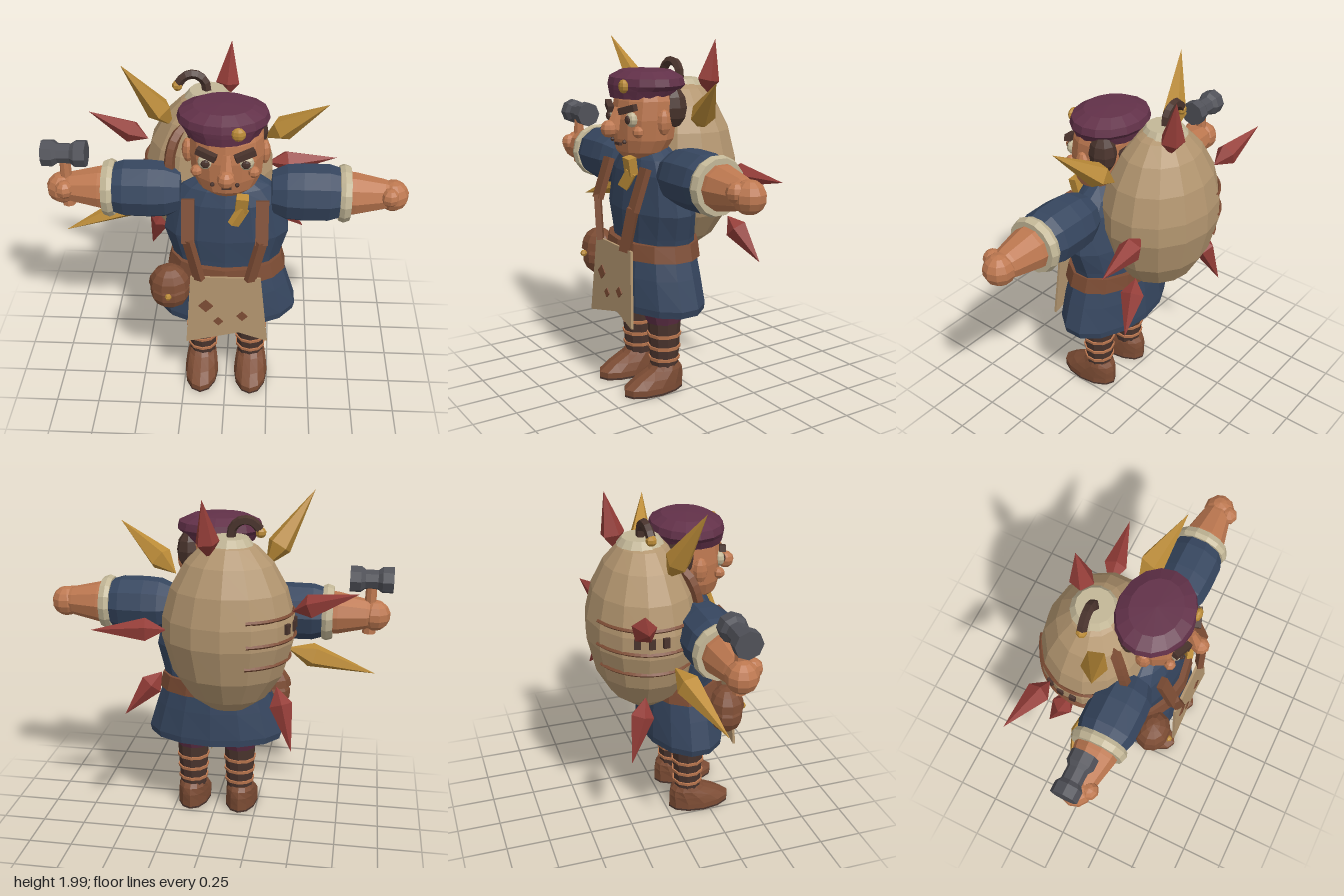
import * as THREE from 'three';

const V = (x, y, z) => new THREE.Vector3(x, y, z);
const UP = V(0, 1, 0);

export function createModel() {
  const root = new THREE.Group();
  const colours = {
    skin: 0xbd7850, navy: 0x36465f, burgundy: 0x623149, sackcloth: 0xb2956f, leather: 0x7c4c34,
    darkBrown: 0x4a342d, gold: 0xbc8c38, red: 0x943d38, steel: 0x505158, cream: 0xc3b797,
  };
  const mat = {};
  for (const name in colours) {
    mat[name] = new THREE.MeshStandardMaterial({ color: colours[name] });
    mat[name].name = name;
  }

  // Adds a faceted mesh
  function add(name, geo, material, pos = [0, 0, 0], rot = [0, 0, 0]) {
    const g = geo.index ? geo.toNonIndexed() : geo;
    g.computeVertexNormals();
    const m = new THREE.Mesh(g, mat[material]);
    m.name = name;
    m.position.set(...pos);
    m.rotation.set(...rot);
    root.add(m);
    return m;
  }
  // Stacked elliptical rings: [y, radiusX, radiusZ, centreZ]
  function loft(rings, sides) {
    const g = new THREE.LatheGeometry(rings.map(r => new THREE.Vector2(1, r[0])), sides);
    const p = g.attributes.position;
    for (let i = 0; i < p.count; i++) {
      const [, rx, rz, cz = 0] = rings[i % rings.length];
      p.setX(i, p.getX(i) * rx);
      p.setZ(i, p.getZ(i) * rz + cz);
    }
    return g;
  }
  const lathe = (pts, sides) => new THREE.LatheGeometry(pts.map(p => new THREE.Vector2(...p)), sides);
  const box = (w, h, d) => new THREE.BoxGeometry(w, h, d);
  const ball = (r, w = 9, h = 6) => new THREE.SphereGeometry(r, w, h);
  const tube = (pts, r, n = 8, sides = 5) =>
    new THREE.TubeGeometry(new THREE.CatmullRomCurve3(pts.map(p => V(...p))), n, r, sides);
  // Box stretched between two points
  function bar(name, a, b, w, d, material) {
    const A = V(...a), B = V(...b), dir = B.clone().sub(A);
    const m = add(name, box(w, dir.length(), d), material);
    m.position.copy(A).add(B).multiplyScalar(0.5);
    m.quaternion.setFromUnitVectors(UP, dir.normalize());
  }
  // Double-pointed crystal
  function spike(a, b, r, material) {
    const A = V(...a), dir = V(...b).sub(A), L = dir.length();
    const m = add(material + 'Spike', lathe([[0, 0], [r, L * 0.28], [0, L]], 5), material, a);
    m.quaternion.setFromUnitVectors(UP, dir.normalize());
  }

  // Legs and boots
  for (const s of [-1, 1]) {
    const x = s * 0.145;
    add('boot', loft([[0.012, 0, 0, 0.2], [0.012, 0.1, 0.19, 0.21], [0.045, 0.1, 0.19, 0.21], [0.09, 0.094, 0.155, 0.175],
      [0.13, 0.085, 0.105, 0.135], [0.155, 0.075, 0.08, 0.13], [0.155, 0, 0, 0.13]], 12), 'leather', [s * 0.15, 0, 0]);
    add('sole', loft([[0, 0, 0, 0.2], [0, 0.1, 0.19, 0.21], [0.012, 0.1, 0.19, 0.21], [0.012, 0, 0, 0.2]], 12), 'darkBrown', [s * 0.15, 0, 0]);
    add('stocking', new THREE.CylinderGeometry(0.097, 0.08, 0.3, 10), 'darkBrown', [x, 0.285, 0.135]);
    [0.19, 0.26, 0.335].forEach((y, i) =>
      add('legBand', new THREE.CylinderGeometry(0.092 + i * 0.004, 0.09 + i * 0.004, 0.018, 10), 'skin', [x, y, 0.135]));
    add('breeches', lathe([[0, 0.41], [0.1, 0.41], [0.135, 0.5], [0.15, 0.62], [0, 0.62]], 10), 'burgundy', [s * 0.14, 0, 0.135]);
  }

  // Tunic, belt and apron
  add('skirt', loft([[0.58, 0, 0, 0.13], [0.56, 0.36, 0.2, 0.13], [0.5, 0.4, 0.24, 0.125], [0.54, 0.41, 0.242, 0.125],
    [0.7, 0.36, 0.232, 0.125], [0.85, 0.31, 0.21, 0.12]], 14), 'navy');
  add('tunic', loft([[0.84, 0.3, 0.2, 0.115], [0.92, 0.315, 0.195, 0.12], [1.06, 0.355, 0.19, 0.13], [1.27, 0.31, 0.155, 0.14],
    [1.35, 0.24, 0.13, 0.14], [1.41, 0.14, 0.1, 0.14], [1.41, 0, 0, 0.14]], 14), 'navy');
  add('belt', loft([[0.8, 0.3, 0.2, 0.125], [0.8, 0.345, 0.24, 0.125], [0.89, 0.32, 0.23, 0.12], [0.89, 0.28, 0.18, 0.12]], 14), 'leather');
  const apronShape = new THREE.Shape([[-0.19, 0.87], [-0.22, 0.42], [-0.06, 0.46], [0.08, 0.495], [0.245, 0.44], [0.2, 0.87]]
    .map(p => new THREE.Vector2(p[0], p[1] - 0.87)));
  add('apron', new THREE.ExtrudeGeometry(apronShape, { depth: 0.015, bevelEnabled: false }), 'sackcloth', [0, 0.87, 0.37], [-0.06, 0, 0]);
  for (const [x, y, r] of [[-0.105, 0.68, 0.042], [-0.035, 0.575, 0.028], [0.1, 0.615, 0.032]])
    add('apronPatch', new THREE.CylinderGeometry(r, r, 0.008, 4), 'leather', [x, y, 0.387 + (0.87 - y) * 0.06], [Math.PI / 2 - 0.06, 0, 0]);
  for (const s of [-1, 1]) {
    bar('upperStrap', [s * 0.2, 1.32, 0.285], [s * 0.2, 1.09, 0.365], 0.07, 0.035, 'leather');
    bar('lowerStrap', [s * 0.2, 1.11, 0.365], [s * 0.14, 0.86, 0.385], 0.06, 0.035, 'leather');
  }
  add('shoulderStrap', tube([[-0.22, 1.62, 0.0], [-0.28, 1.57, 0.07], [-0.31, 1.47, 0.11], [-0.31, 1.36, 0.13]], 0.032), 'leather');

  // Belt pouch
  add('pouch', ball(0.115, 10, 7), 'leather', [-0.315, 0.71, 0.3]).scale.set(1, 0.95, 0.85);
  add('pouchFlap', new THREE.SphereGeometry(0.12, 10, 4, 0, Math.PI * 2, 0, Math.PI / 2), 'leather', [-0.315, 0.76, 0.3]).scale.z = 0.87;
  add('pouchButton', ball(0.02, 6, 4), 'gold', [-0.315, 0.74, 0.405]);

  // Arms
  for (const s of [-1, 1]) {
    const rot = [0, 0, -s * Math.PI / 2], at = [0, 1.285, 0.13];
    add('sleeve', lathe([[0, 0.24], [0.12, 0.25], [0.155, 0.33], [0.162, 0.42], [0.16, 0.56], [0.135, 0.64], [0, 0.64]], 10), 'navy', at, rot);
    add('cuff', lathe([[0.11, 0.615], [0.152, 0.615], [0.162, 0.64], [0.15, 0.675], [0.11, 0.675]], 14), 'cream', at, rot);
    add('forearm', lathe([[0, 0.62], [0.125, 0.64], [0.12, 0.7], [0.085, 0.86], [0.07, 0.9], [0, 0.9]], 10), 'skin', at, rot);
    add('hand', ball(0.088, 10, 7), 'skin', [s * 0.908, 1.28, 0.13]);
    add('thumb', ball(0.052, 8, 6), 'skin', [s * 0.885, 1.305, 0.195]);
  }

  // Hammer
  add('hammerHandle', new THREE.CylinderGeometry(0.03, 0.038, 0.28, 8), 'skin', [-0.88, 1.315, 0.13]);
  add('hammerHead', lathe([[0, -0.12], [0.075, -0.12], [0.075, -0.06], [0.056, -0.035], [0.056, 0.035], [0.075, 0.06], [0.075, 0.12], [0, 0.12]], 8),
    'steel', [-0.88, 1.49, 0.12], [0, 0, Math.PI / 2]);

  // Head
  add('neck', new THREE.CylinderGeometry(0.11, 0.12, 0.12, 10), 'skin', [0, 1.37, 0.15]);
  add('head', loft([[1.355, 0, 0, 0.2], [1.355, 0.1, 0.09, 0.21], [1.39, 0.155, 0.135, 0.195], [1.46, 0.19, 0.165, 0.18],
    [1.57, 0.2, 0.175, 0.175], [1.67, 0.195, 0.17, 0.165], [1.74, 0.17, 0.15, 0.16], [1.74, 0, 0, 0.16]], 14), 'skin', [0.005, 0, 0]);
  add('nose', ball(0.048, 9, 6), 'skin', [0.01, 1.52, 0.4]);
  add('noseBridge', new THREE.CylinderGeometry(0.022, 0.042, 0.12, 6), 'skin', [0.01, 1.575, 0.36], [-0.3, 0, 0]);
  for (const s of [-1, 1]) {
    const x = 0.005 + s * 0.105;
    add('ear', ball(0.07, 8, 6), 'skin', [s * 0.205, 1.56, 0.17]).scale.set(0.45, 1, 0.6);
    add('cheek', ball(0.032, 7, 5), 'skin', [s * 0.15, 1.51, 0.3]);
    add('eye', ball(0.042, 10, 6), 'cream', [x, 1.575, 0.317]).scale.z = 0.7;
    add('pupil', ball(0.024, 8, 6), 'darkBrown', [x, 1.575, 0.341]).scale.z = 0.5;
    add('brow', box(0.11, 0.036, 0.035), 'darkBrown', [x - s * 0.005, 1.63, 0.337], [0, s * 0.35, s * 0.27]);
    add('whisker', ball(0.013, 6, 4), 'darkBrown', [s * 0.065, 1.45, 0.336]);
    add('hair', ball(0.1, 8, 6), 'darkBrown', [s * 0.145, 1.63, 0.075]).scale.set(0.75, 1.15, 0.8);
  }
  add('mouth', box(0.05, 0.015, 0.02), 'darkBrown', [0.01, 1.435, 0.342]);
  add('backHair', ball(0.12, 8, 6), 'darkBrown', [0, 1.62, 0.06]).scale.z = 0.6;

  // Beret
  add('beret', loft([[1.68, 0, 0, 0.16], [1.68, 0.195, 0.185, 0.165], [1.725, 0.22, 0.195, 0.16], [1.75, 0.245, 0.205, 0.15],
    [1.79, 0.235, 0.195, 0.15], [1.825, 0.16, 0.135, 0.15], [1.832, 0, 0, 0.15]], 16), 'burgundy', [-0.015, 0, 0]);
  add('beretBadge', ball(0.038, 8, 6), 'gold', [0.07, 1.75, 0.342]).scale.z = 0.6;

  // Neck tassel
  add('tasselKnot', box(0.065, 0.1, 0.05), 'gold', [0.09, 1.32, 0.315], [0.2, 0, -0.1]);
  bar('tasselEnd', [0.1, 1.29, 0.315], [0.045, 1.2, 0.335], 0.06, 0.035, 'gold');

  // Sack with lid and tie
  const sackX = -0.11, sackZ = -0.13;
  const sackRings = [[0.78, 0, 0], [0.78, 0.11, 0.09], [0.86, 0.22, 0.19], [1.0, 0.315, 0.27], [1.2, 0.372, 0.318],
    [1.32, 0.37, 0.315], [1.48, 0.325, 0.278], [1.62, 0.245, 0.21], [1.71, 0.155, 0.135], [1.74, 0.1, 0.1], [1.74, 0, 0]];
  add('sack', loft(sackRings, 14), 'sackcloth', [sackX, 0, sackZ]);
  add('sackLid', new THREE.CylinderGeometry(0.1, 0.13, 0.04, 14), 'cream', [-0.115, 1.74, -0.14]);
  add('sackTie', tube([[-0.12, 1.74, -0.14], [-0.13, 1.81, -0.14], [-0.18, 1.85, -0.14], [-0.24, 1.84, -0.135], [-0.275, 1.8, -0.13]], 0.027), 'darkBrown');
  add('tieBead', ball(0.03, 7, 5), 'gold', [-0.28, 1.785, -0.13]);

  // Seams wrapped around the right side of the sack
  const onSack = (angle, y, grow) => [sackX - Math.cos(angle) * 0.37 * grow, y, sackZ + Math.sin(angle) * 0.316 * grow];
  for (const [y, grow] of [[1.36, 0.965], [1.23, 0.995], [1.1, 0.925]]) {
    const pts = [];
    for (let i = 0; i <= 12; i++) pts.push(onSack(-1.2 + i * 0.19, y, grow));
    add('sackSeam', tube(pts, 0.011, 24, 4), 'leather');
  }
  for (const a of [-0.42, -0.18, 0.06])
    add('stitch', box(0.025, 0.055, 0.035), 'darkBrown', onSack(a, 1.295, 0.99), [0, a, 0]);

  // Crystals around the sack
  for (const [a, b] of [
    [[-0.02, 1.66, -0.25], [0.01, 1.98, -0.3]], [[-0.47, 1.39, -0.24], [-0.82, 1.52, -0.31]],
    [[0.22, 1.25, -0.24], [0.63, 1.25, -0.31]], [[0.25, 1.0, -0.23], [0.45, 0.76, -0.31]],
    [[-0.39, 0.94, -0.2], [-0.49, 0.6, -0.31]],
  ]) spike(a, b, 0.068, 'red');
  for (const [a, b] of [
    [[-0.3, 1.58, -0.05], [-0.55, 1.99, 0.07]], [[0.2, 1.52, -0.05], [0.54, 1.79, 0.07]],
    [[-0.43, 1.12, -0.05], [-0.93, 0.95, 0.07]], [[0, 0.8, -0.03], [0.02, 0.4, 0.07]],
  ]) spike(a, b, 0.072, 'gold');

  return root;
}
